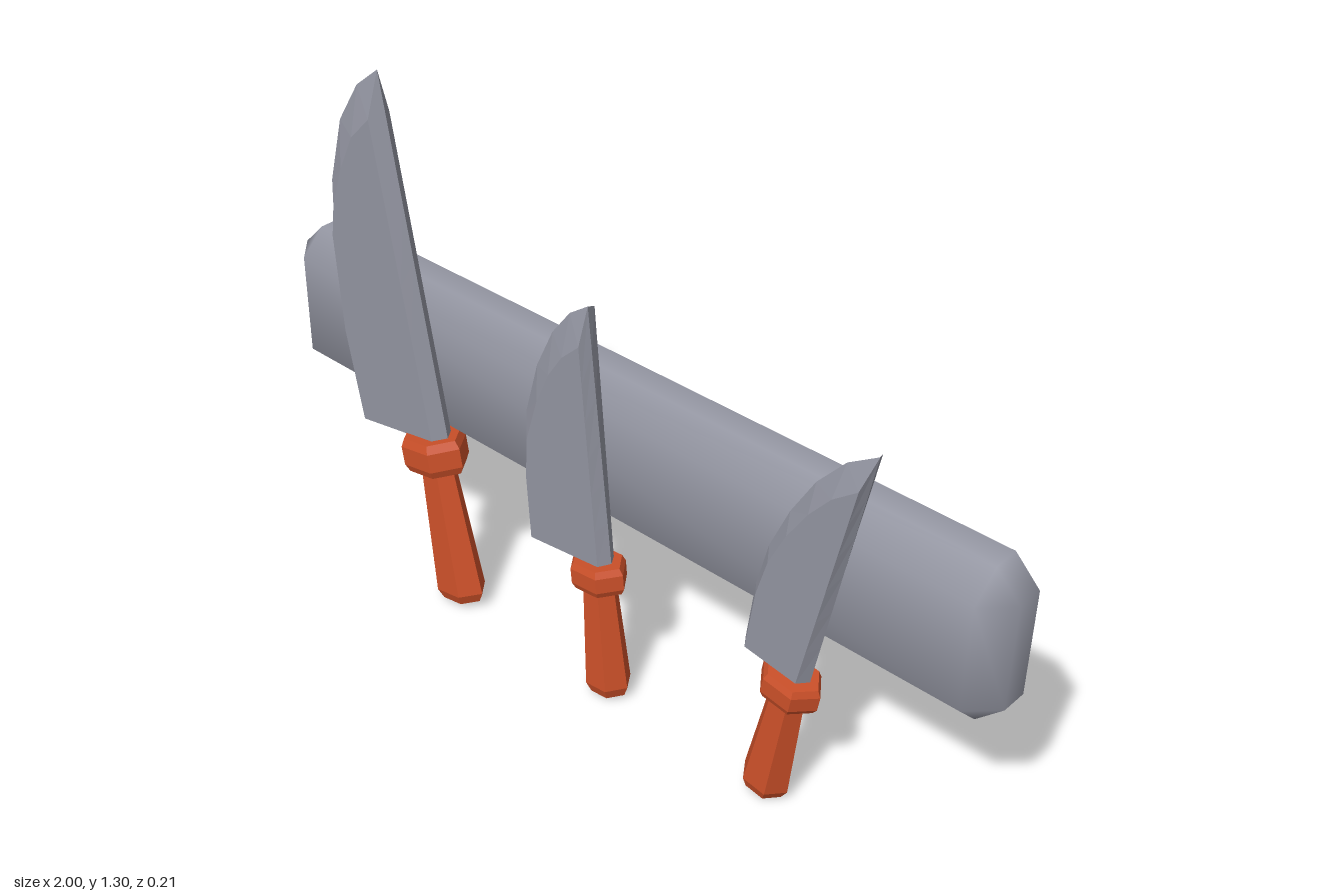
import * as THREE from 'three';

const steel = new THREE.MeshStandardMaterial({ color: 0x9294a0 });
steel.name = 'steel grey';
const bladeSteel = steel.clone();
bladeSteel.flatShading = true;
const wood = new THREE.MeshStandardMaterial({ color: 0xcb5029, flatShading: true });
wood.name = 'orange wood';

const KNIFE_Z = 0.045;

function addMesh(parent, name, geometry, material) {
  const mesh = new THREE.Mesh(geometry, material);
  mesh.name = name;
  parent.add(mesh);
  return mesh;
}

// Skin a list of closed rings, running counter-clockwise around the outward direction
function loft(rings, capStart) {
  const n = rings[0].length;
  const index = [];
  for (let i = 0; i < rings.length - 1; i++) {
    for (let j = 0; j < n; j++) {
      const a = i * n + j, b = i * n + (j + 1) % n;
      index.push(a, b, b + n, a, b + n, a + n);
    }
  }
  if (capStart) for (let j = 1; j < n - 1; j++) index.push(0, j + 1, j);
  const geo = new THREE.BufferGeometry();
  geo.setAttribute('position', new THREE.Float32BufferAttribute(rings.flat(2), 3));
  geo.setIndex(index);
  return geo;
}

// Wall bar: chamfered corners, bevelled front, softly shaded, flat back
function buildRack() {
  const group = new THREE.Group();
  group.name = 'rack';
  const w = 1, h = 0.185, c = 0.06;
  const outer = [[w, -h + c], [w, h - c], [w - c, h], [-w + c, h],
    [-w, h - c], [-w, -h + c], [-w + c, -h], [w - c, -h]];
  const inner = outer.map(([x, y]) => [Math.sign(x) * (w - c), Math.sign(y) * (h - c)]);
  const at = (pts, z) => pts.map(([x, y]) => [x, y, z]);
  const geo = loft([at(outer, -0.108), at(outer, -0.045), at(inner, 0.015), at(inner.map(() => [0, 0]), 0.015)]);

  // The front face is a plain quad over the inner ring
  const index = Array.from(geo.index.array).slice(0, 2 * 8 * 6);
  index.push(16, 18, 20, 16, 20, 22);
  geo.setIndex(index);
  const normals = [];
  for (let ring = 0; ring < 4; ring++) {
    outer.forEach(([x, y], j) => {
      const side = Math.abs(x) === w;
      const sx = Math.sign(x), sy = Math.sign(y);
      const n = ring < 2
        ? new THREE.Vector3(side ? sx : sx * 0.15, side ? sy * 0.15 : sy, ring * 0.45)
        : new THREE.Vector3(sx * 0.3, sy * 0.35, 1);
      normals.push(...n.normalize().toArray());
    });
  }
  geo.setAttribute('normal', new THREE.Float32BufferAttribute(normals, 3));
  addMesh(group, 'rackFront', geo, steel);

  const back = new THREE.ShapeGeometry(new THREE.Shape(outer.map(p => new THREE.Vector2(...p))));
  back.rotateY(Math.PI);
  addMesh(group, 'rackBack', back, steel).position.z = -0.108;
  group.position.y = 0.59;
  return group;
}

// Blade: six-sided section with a sharp edge, flat cheeks and a peaked spine
function buildBlade({ edge, cheek, spine, spineIn, backTip, half }) {
  const last = edge.length - 1;
  const tip = edge[last], frontTip = cheek[last];
  const mix = (a, b, t) => [a[0] + (b[0] - a[0]) * t, a[1] + (b[1] - a[1]) * t];
  const rings = edge.map((e, i) => {
    const t = i / last;
    const backCheek = i === last ? backTip : cheek[i];
    return [
      [...e, 0],
      [...cheek[i], half],
      [...mix(spineIn, frontTip, t), half],
      [...mix(spine, tip, t), 0],
      [...mix(spineIn, backTip, t), -half],
      [...backCheek, -half],
    ];
  });
  const geo = loft(rings, true).toNonIndexed();
  geo.computeVertexNormals();
  return geo;
}

// Six-sided turned part, with corners to the left and right
function hexTurned(profile, depth) {
  const pts = profile.map(p => new THREE.Vector2(...p));
  const geo = new THREE.LatheGeometry(pts, 6, Math.PI / 6).toNonIndexed();
  geo.scale(1, 1, depth);
  geo.computeVertexNormals();
  return geo;
}

function buildKnife(k) {
  const group = new THREE.Group();
  group.name = k.name;
  group.position.z = KNIFE_Z;
  addMesh(group, 'blade', buildBlade(k), bladeSteel);

  const grip = new THREE.Group();
  grip.name = 'grip';
  grip.position.set(k.guard[0], k.guard[1], 0);
  grip.rotation.z = k.tilt;
  group.add(grip);
  const { guardR: g, guardH: gh, topR, endR, length } = k;
  addMesh(grip, 'guard', hexTurned([[0, -gh], [g * 0.88, -gh], [g, -gh * 0.55],
    [g, gh * 0.55], [g * 0.88, gh], [0, gh]], k.guardDepth), wood);
  addMesh(grip, 'handle', hexTurned([[0, -length], [endR * 0.8, -length],
    [endR, -length + 0.025], [topR, -gh * 0.8]], k.handleDepth), wood);
  return group;
}

const KNIVES = [
  {
    name: 'largeKnife', half: 0.03,
    edge: [[-0.705, 0.405], [-0.75, 0.63], [-0.775, 0.85], [-0.77, 0.99], [-0.725, 1.15], [-0.66, 1.25], [-0.59, 1.305]],
    cheek: [[-0.685, 0.408], [-0.73, 0.63], [-0.747, 0.87], [-0.735, 0.95], [-0.7, 1.05], [-0.655, 1.14], [-0.595, 1.2]],
    spine: [-0.43, 0.455], spineIn: [-0.452, 0.45], backTip: [-0.595, 1.2],
    guard: [-0.475, 0.405], tilt: 0.18, guardR: 0.088, guardH: 0.042, guardDepth: 0.79,
    topR: 0.05, endR: 0.073, length: 0.393, handleDepth: 0.68,
  },
  {
    name: 'mediumKnife', half: 0.026,
    edge: [[-0.157, 0.34], [-0.175, 0.5], [-0.172, 0.65], [-0.137, 0.78], [-0.09, 0.88], [-0.04, 0.945], [0.01, 0.98]],
    cheek: [[-0.14, 0.342], [-0.152, 0.5], [-0.147, 0.6], [-0.115, 0.71], [-0.08, 0.79], [-0.04, 0.85], [0.008, 0.895]],
    spine: [0.077, 0.368], spineIn: [0.06, 0.365], backTip: [0.004, 0.968],
    guard: [0.04, 0.328], tilt: 0.1, guardR: 0.073, guardH: 0.033, guardDepth: 0.77,
    topR: 0.042, endR: 0.058, length: 0.315, handleDepth: 0.83,
  },
  {
    name: 'smallKnife', half: 0.026,
    edge: [[0.45, 0.385], [0.468, 0.53], [0.495, 0.64], [0.54, 0.745], [0.595, 0.84], [0.66, 0.915], [0.73, 0.96]],
    cheek: [[0.468, 0.382], [0.488, 0.53], [0.513, 0.62], [0.553, 0.705], [0.6, 0.78], [0.65, 0.84], [0.708, 0.885]],
    spine: [0.617, 0.36], spineIn: [0.6, 0.363], backTip: [0.718, 0.948],
    guard: [0.57, 0.328], tilt: -0.16, guardR: 0.073, guardH: 0.033, guardDepth: 0.77,
    topR: 0.042, endR: 0.058, length: 0.315, handleDepth: 0.83,
  },
];

export function createModel() {
  const model = new THREE.Group();
  model.name = 'knifeRack';
  model.add(buildRack(), ...KNIVES.map(buildKnife));
  return model;
}
